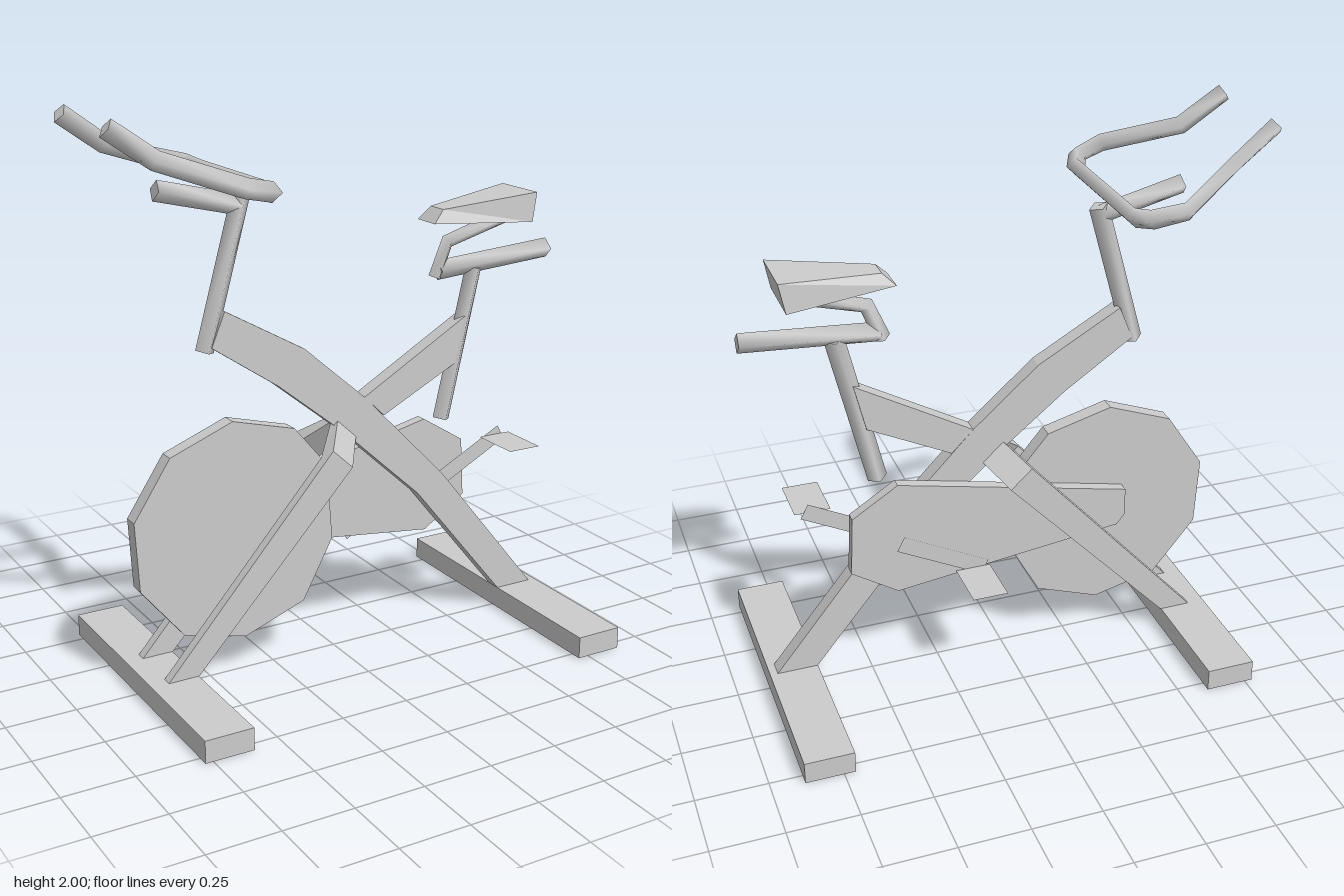
import * as THREE from 'three';

const grey = new THREE.MeshStandardMaterial({ color: 0xcccccc });
const sheet = new THREE.MeshStandardMaterial({ color: 0xcccccc, side: THREE.DoubleSide });
const V = (x, y, z = 0) => new THREE.Vector3(x, y, z);

function add(group, name, geometry, material = grey) {
  const mesh = new THREE.Mesh(geometry, material);
  mesh.name = name;
  group.add(mesh);
  return mesh;
}

// Skin a list of rings (each counter-clockwise about the direction of travel) and cap the ends
function loft(rings, smooth = false) {
  const n = rings[0].length;
  const last = rings.length - 1;
  const points = [...rings.flat(), ...rings[0], ...rings[last]];
  const index = [];
  for (let i = 0; i < last; i++) {
    for (let j = 0; j < n; j++) {
      const a = i * n + j, b = i * n + (j + 1) % n;
      index.push(a, b, b + n, a, b + n, a + n);
    }
  }
  const start = rings.length * n, end = start + n;
  for (let j = 1; j < n - 1; j++) {
    index.push(start, start + j + 1, start + j, end, end + j, end + j + 1);
  }
  let g = new THREE.BufferGeometry().setFromPoints(points);
  g.setIndex(index);
  if (!smooth) g = g.toNonIndexed();
  g.computeVertexNormals();
  return g;
}

// Four-sided, smooth-shaded bar along a path with mitred bends
function bar(path, r) {
  const up = V(0, 1, 0);
  const rings = path.map((p, i) => {
    const into = p.clone().sub(path[Math.max(i - 1, 0)]).normalize();
    const out = path[Math.min(i + 1, path.length - 1)].clone().sub(p).normalize();
    const t = into.add(out).normalize();
    const u = t.clone().cross(up).normalize();
    const v = t.clone().cross(u);
    return [0, 1, 2, 3].map((k) => {
      const a = k * Math.PI / 2;
      return p.clone().addScaledVector(u, r * Math.cos(a)).addScaledVector(v, r * Math.sin(a));
    });
  });
  return loft(rings, true);
}

// Flat plate cut from an outline in x, y
function plate(outline, z0, z1) {
  const shape = new THREE.Shape(outline.map(([x, y]) => new THREE.Vector2(x, y)));
  return new THREE.ExtrudeGeometry(shape, { depth: z1 - z0, bevelEnabled: false }).translate(0, 0, z0);
}

export function createModel() {
  const bike = new THREE.Group();
  bike.name = 'exerciseBike';

  // Floor feet
  for (const [name, x] of [['frontFoot', -0.69], ['rearFoot', 0.797]]) {
    add(bike, name, new THREE.BoxGeometry(0.175, 0.08, 1.08)).position.set(x, 0.04, 0);
  }

  // Frame
  add(bike, 'mainBeam', plate([
    [-0.48, 1.2], [-0.23, 1.03], [0.03, 0.82], [0.34, 0.535], [0.71, 0.08],
    [0.857, 0.08], [0.445, 0.594], [0.11, 0.94], [-0.13, 1.15], [-0.43, 1.32],
  ], -0.03, 0.03));
  add(bike, 'seatBranch', plate([[0.11, 0.94], [0.19, 0.86], [0.49, 1.01], [0.53, 1.18]], -0.03, 0.03));

  // Fork legs, bent inward at the top
  for (const s of [1, -1]) {
    const ring = (outA, outB, zOut, inA, inB, zIn) => {
      const r = [V(...inB, s * zIn), V(...inA, s * zIn), V(...outA, s * zOut), V(...outB, s * zOut)];
      return s > 0 ? r : r.reverse();
    };
    add(bike, s > 0 ? 'forkLegFront' : 'forkLegBack', loft([
      ring([-0.714, 0.08], [-0.6, 0.08], 0.127, [-0.714, 0.08], [-0.6, 0.08], 0.09),
      ring([-0.073, 0.8], [0.005, 0.727], 0.127, [-0.1, 0.77], [-0.022, 0.697], 0.09),
      ring([0, 0.87], [0.075, 0.8], 0.03, [-0.01, 0.86], [0.065, 0.79], 0),
    ]));
  }

  // Flywheel
  add(bike, 'flywheel', plate([
    [-0.407, 0.934], [-0.17, 0.87], [-0.042, 0.716], [-0.021, 0.435], [-0.138, 0.218],
    [-0.371, 0.133], [-0.605, 0.191], [-0.764, 0.387], [-0.778, 0.637], [-0.642, 0.844],
  ], -0.03, 0.028));

  // Drive guard
  add(bike, 'driveGuard', plate([
    [0.4, 0.795], [0.566, 0.69], [0.578, 0.47], [0.41, 0.36], [-0.43, 0.462], [-0.46, 0.5], [-0.46, 0.605],
  ], -0.07, -0.03));

  // Cranks and flat pedals, half a turn apart
  for (const [s, zArm, zFar] of [[1, 0.012, 0.205], [-1, -0.075, -0.27]]) {
    const side = s > 0 ? 'Front' : 'Back';
    const dx = 0.317, dy = 0.15;
    const arm = add(bike, 'crank' + side, new THREE.PlaneGeometry(Math.hypot(dx, dy), 0.06), sheet);
    arm.position.set(0.4 + s * dx / 2, 0.55 + s * dy / 2, zArm);
    arm.rotation.z = Math.atan2(0.13, 0.25);
    const pedal = add(bike, 'pedal' + side, new THREE.PlaneGeometry(0.128, Math.abs(zFar - zArm)), sheet);
    pedal.position.set(0.408 + s * 0.277, 0.55 + s * dy, (zArm + zFar) / 2);
    pedal.rotation.x = -Math.PI / 2;
  }

  // Seat post, slider and saddle bracket
  add(bike, 'seatPost', bar([V(0.452, 0.8), V(0.58, 1.35)], 0.035));
  add(bike, 'seatSlider', bar([V(0.425, 1.355), V(0.9, 1.388)], 0.036));
  add(bike, 'saddleBracket', bar([V(0.415, 1.33), V(0.465, 1.455), V(0.71, 1.525)], 0.028));

  // Saddle, widening to the rear
  const saddleEnd = (xTop, yTop, wTop, xLow, yLow, wLow) =>
    [V(xTop, yTop, -wTop), V(xTop, yTop, wTop), V(xLow, yLow, wLow), V(xLow, yLow, -wLow)];
  add(bike, 'saddle', loft([
    saddleEnd(0.42, 1.58, 0.04, 0.375, 1.535, 0.055),
    saddleEnd(0.775, 1.62, 0.105, 0.755, 1.515, 0.11),
  ]));

  // Handlebar stem, centre rest and handlebar
  add(bike, 'handlebarStem', bar([V(-0.493, 1.183), V(-0.35, 1.695)], 0.035));
  add(bike, 'centreRest', bar([V(-0.655, 1.737), V(-0.36, 1.665)], 0.035));
  const half = [
    V(-0.89, 1.975, 0.19), V(-0.74, 1.868, 0.208), V(-0.505, 1.785, 0.352),
    V(-0.4, 1.76, 0.322), V(-0.37, 1.745, 0.255),
  ];
  const otherHalf = half.map((p) => V(p.x, p.y, -p.z)).reverse();
  add(bike, 'handlebar', bar([...half, ...otherHalf], 0.033));

  return bike;
}
